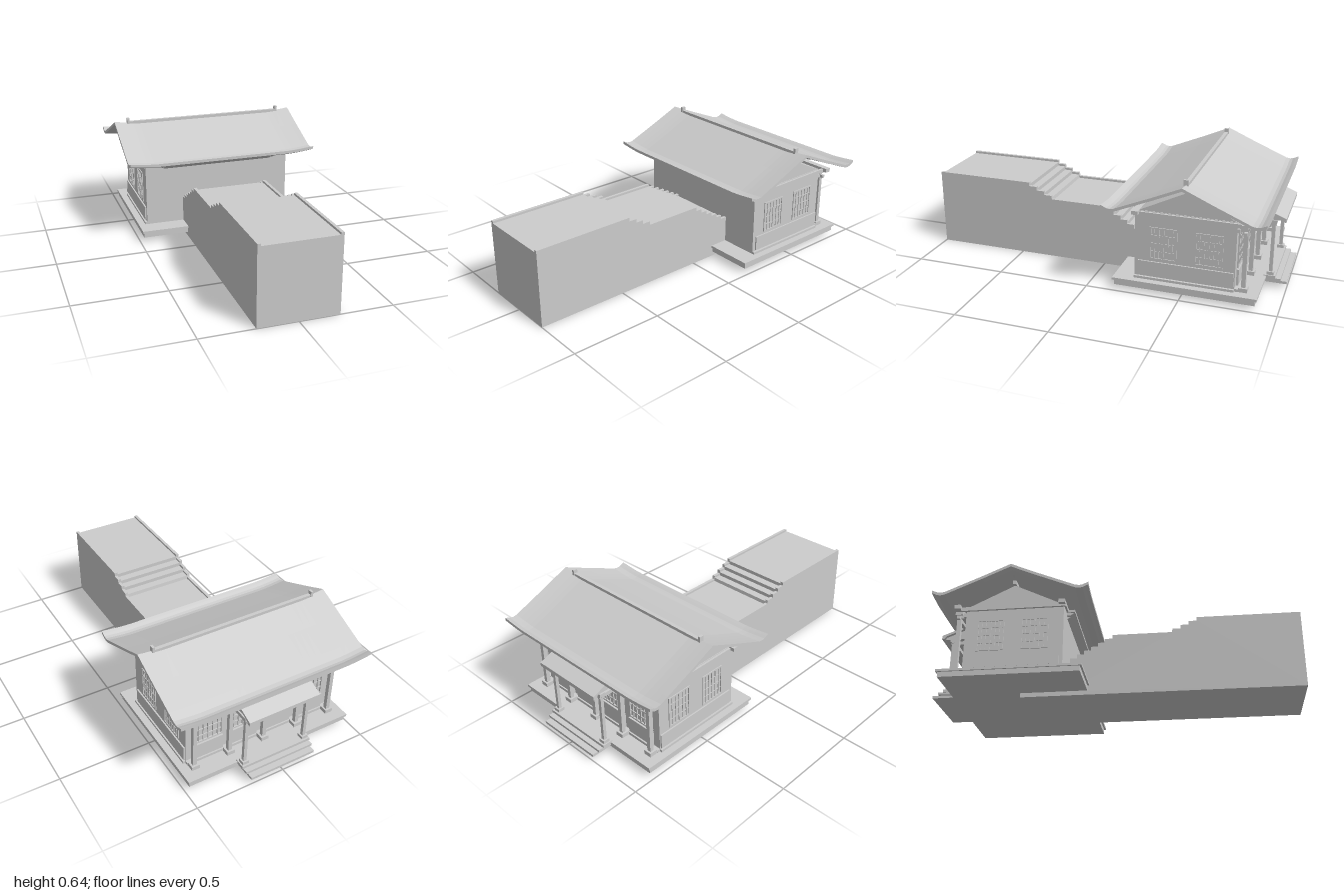
import * as THREE from 'three';

export function createModel() {
  const model = new THREE.Group();
  const stone = new THREE.MeshStandardMaterial({ color: 0xcccccc });
  stone.name = 'pale grey';

  function add(name, geo, parent = model) {
    const mesh = new THREE.Mesh(geo, stone);
    mesh.name = name;
    parent.add(mesh);
    return mesh;
  }
  // box given by its min and max on each axis
  function box(name, x0, x1, y0, y1, z0, z1, parent) {
    const g = new THREE.BoxGeometry(x1 - x0, y1 - y0, Math.abs(z1 - z0));
    g.translate((x0 + x1) / 2, (y0 + y1) / 2, (z0 + z1) / 2);
    return add(name, g, parent);
  }
  // side profile of [z, y] points swept along x
  function sweep(points, x0, x1, steps = 1) {
    const shape = new THREE.Shape(points.map(p => new THREE.Vector2(p[0], p[1])));
    const g = new THREE.ExtrudeGeometry(shape, { depth: x1 - x0, bevelEnabled: false, steps });
    g.rotateY(-Math.PI / 2);
    g.translate(x1, 0, 0);
    return g;
  }

  // stepped causeway: the same stair line for the floor and the raised kerbs
  function stairLine(drop) {
    const pts = [[-0.51, 0], [1, 0], [1, 0.427 - drop], [0.445, 0.427 - drop]];
    const flight = (z, y, n, dz, dy) => {
      for (let i = 0; i < n; i++) {
        pts.push([z - i * dz, y - (i + 1) * dy - drop], [z - (i + 1) * dz, y - (i + 1) * dy - drop]);
      }
    };
    flight(0.445, 0.427, 3, 0.044, 0.021);
    pts.push([0.31, 0.344 - drop], [-0.015, 0.344 - drop]);
    flight(-0.015, 0.344, 6, 0.0385, 0.0217);
    pts.push([-0.25, 0.214 - drop], [-0.25, 0.025], [-0.51, 0.025]);
    return pts;
  }
  add('causewayFloor', sweep(stairLine(0.012), -0.198, 0.198));
  for (const s of [-1, 1]) {
    add('causewayKerb', sweep(stairLine(0), Math.min(s * 0.198, s * 0.215), Math.max(s * 0.198, s * 0.215)));
  }

  // platform and rear steps
  box('plinth', -0.477, 0.477, 0.024, 0.052, -0.883, -0.147);
  box('platformSlab', -0.485, 0.485, 0.052, 0.065, -0.893, -0.137);
  box('porchLanding', -0.205, 0.205, 0.055, 0.07, -0.94, -0.88);
  box('middleStep', -0.2, 0.2, 0.042, 0.055, -0.968, -0.88);
  box('bottomStep', -0.19, 0.19, 0.026, 0.04, -1, -0.88);

  // hall body and gables
  const wallX = 0.434, back = -0.77, front = -0.245, mid = -0.515;
  box('hallWalls', -wallX, wallX, 0.065, 0.44, back, front);
  add('gable', sweep([[-0.775, 0.435], [-0.255, 0.435], [mid, 0.562]], -0.43, 0.43));
  box('ridgePurlin', -0.45, 0.45, 0.56, 0.582, mid - 0.01, mid + 0.01);
  for (const s of [-1, 1]) {
    const a = s * wallX;
    const side = (name, d, y0, y1, z0, z1) =>
      box(name, Math.min(a, a + s * d), Math.max(a, a + s * d), y0, y1, z0, z1);
    side('sideSill', 0.013, 0.065, 0.078, back, front);
    side('sideDado', 0.008, 0.085, 0.166, -0.765, -0.265);
    side('sideBeam', 0.012, 0.415, 0.437, -0.8, -0.235);
  }

  // lattice panel facing +z, made of a thin frame and bars
  function lattice(name, w, h, cols, rows, depth) {
    const g = new THREE.Group();
    g.name = name;
    const t = 0.008, b = 0.0045;
    for (const s of [-1, 1]) {
      box('frameStile', s * (w - t) / 2 - t / 2, s * (w - t) / 2 + t / 2, -h / 2, h / 2, 0, depth, g);
      box('frameRail', -w / 2, w / 2, s * (h - t) / 2 - t / 2, s * (h - t) / 2 + t / 2, 0, depth, g);
    }
    for (let i = 1; i < cols; i++) {
      const x = -w / 2 + w * i / cols, k = i * 2 === cols ? t : b;
      box('bar', x - k / 2, x + k / 2, -h / 2, h / 2, 0, depth * 0.8, g);
    }
    for (let j = 1; j < rows; j++) {
      const y = -h / 2 + h * j / rows;
      box('crossBar', -w / 2, w / 2, y - b / 2, y + b / 2, 0, depth * 0.7, g);
    }
    model.add(g);
    return g;
  }
  // side windows
  for (const s of [-1, 1]) for (const dz of [-0.118, 0.118]) {
    const win = lattice('sideWindow', 0.145, 0.178, 6, 4, 0.005);
    win.position.set(s * wallX, 0.268, mid + dz);
    win.rotation.y = s * Math.PI / 2;
  }
  // rear screens and dado, one per bay
  for (const x of [-0.3075, -0.1025, 0.1025, 0.3075]) {
    const screen = lattice('rearScreen', 0.165, 0.205, 6, 5, 0.008);
    screen.position.set(x, 0.278, back);
    screen.rotation.y = Math.PI;
    box('rearDado', x - 0.085, x + 0.085, 0.075, 0.168, back - 0.012, back);
  }
  box('rearSill', -wallX, wallX, 0.065, 0.08, back - 0.02, back);
  box('rearLintel', -wallX, wallX, 0.385, 0.405, back - 0.014, back);

  // veranda pillars, with bases and bracket caps
  function pillar(name, x, z, top, w) {
    const g = new THREE.Group();
    g.name = name;
    box('base', x - w, x + w, 0.065, 0.087, z - w, z + w, g);
    box('shaft', x - w / 2, x + w / 2, 0.087, top, z - w / 2, z + w / 2, g);
    box('cap', x - w * 0.9, x + w * 0.9, top - 0.018, top, z - w * 0.9, z + w * 0.9, g);
    model.add(g);
  }
  for (let i = -2; i <= 2; i++) {
    pillar('verandaPillar', i * 0.205, -0.812, 0.42, 0.022);
    box('pillarTie', i * 0.205 - 0.008, i * 0.205 + 0.008, 0.385, 0.405, -0.812, back);
  }
  box('verandaTieBeam', -0.44, 0.44, 0.375, 0.392, -0.82, -0.804);
  box('rearHeadBeam', -0.469, 0.469, 0.42, 0.442, -0.828, -0.796);
  box('frontHeadBeam', -0.469, 0.469, 0.425, 0.445, -0.27, -0.235);

  // corbelled cornice above the front entrance
  box('corniceShelf', -0.352, 0.352, 0.424, 0.438, -0.25, -0.2);
  add('corniceUpper', sweep([[-0.245, 0.424], [-0.203, 0.424], [-0.225, 0.41], [-0.245, 0.41]], -0.343, 0.343));
  add('corniceLower', sweep([[-0.245, 0.41], [-0.225, 0.41], [-0.242, 0.398], [-0.245, 0.398]], -0.327, 0.327));

  // rear porch
  for (const s of [-1, 1]) {
    pillar('porchPillar', s * 0.18, -0.912, 0.378, 0.018);
    box('porchTieBeam', s * 0.18 - 0.008, s * 0.18 + 0.008, 0.345, 0.365, -0.925, -0.812);
  }
  box('porchCrossBeam', -0.195, 0.195, 0.355, 0.375, -0.92, -0.904);
  add('porchGable', sweep([[-0.81, 0.378], [-0.96, 0.378], [-0.96, 0.392], [-0.84, 0.44], [-0.81, 0.44]], -0.188, 0.188));
  add('porchRoof', sweep([[-0.81, 0.452], [-0.845, 0.448], [-0.975, 0.396], [-0.975, 0.376],
    [-0.962, 0.376], [-0.95, 0.392], [-0.845, 0.434], [-0.81, 0.438]], -0.205, 0.205));

  // main roof: thin swept shell with curled eaves, lifted at both ends
  const top = [[0, 0.612], [0.15, 0.546], [0.3, 0.483], [0.345, 0.464], [0.368, 0.46], [0.385, 0.463], [0.4, 0.47], [0.415, 0.476]];
  const under = top.map(([z, y]) => [z, y - 0.016]);
  const flip = pts => pts.map(([z, y]) => [-z, y]);
  const outline = [
    ...flip(top).reverse(), ...top.slice(1),
    ...under.slice().reverse(), ...flip(under).slice(1)
  ].map(([z, y]) => [z + mid, y]);
  const roof = sweep(outline, -0.55, 0.55, 30);
  const p = roof.attributes.position;
  for (let i = 0; i < p.count; i++) {
    const k = Math.max(0, (Math.abs(p.getX(i)) - 0.4) / 0.15);
    p.setY(i, p.getY(i) + 0.014 * Math.pow(k, 1.4));
  }
  roof.computeVertexNormals();
  add('mainRoof', roof);

  // ridge cap with raised end blocks
  box('ridgeCap', -0.475, 0.475, 0.598, 0.624, mid - 0.01, mid + 0.01);
  for (const s of [-1, 1]) {
    box('ridgeEnd', s * 0.469 - 0.007, s * 0.469 + 0.007, 0.6, 0.643, mid - 0.012, mid + 0.012);
  }
  return model;
}
